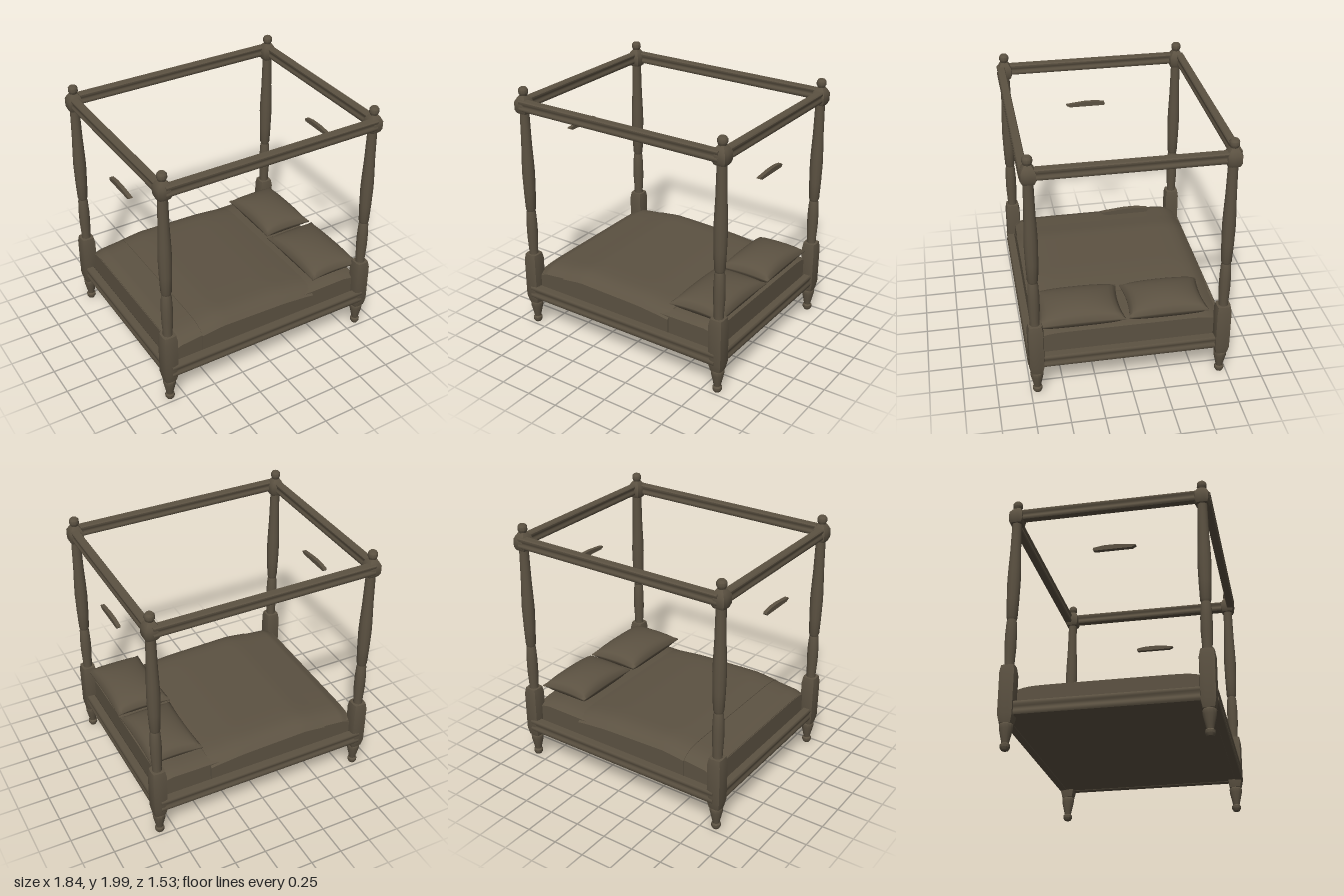
import * as THREE from 'three';
import { toCreasedNormals } from 'three/addons/utils/BufferGeometryUtils.js';

const wood = new THREE.MeshStandardMaterial({ color: 0x5c5242 });
wood.name = 'darkBrown';

const PX = 0.86, PZ = 0.7; // post centres

function part(name, geometry, crease = 0.6) {
  const mesh = new THREE.Mesh(toCreasedNormals(geometry, crease), wood);
  mesh.name = name;
  return mesh;
}

// Move every vertex by a rule
function reshape(geometry, rule) {
  const p = geometry.attributes.position, v = new THREE.Vector3();
  for (let i = 0; i < p.count; i++) {
    rule(v.fromBufferAttribute(p, i));
    p.setXYZ(i, v.x, v.y, v.z);
  }
  geometry.computeVertexNormals();
  return geometry;
}

// Turned part; "square" pushes the round section towards a chamfered square
function turned(name, profile, square = false) {
  const g = new THREE.LatheGeometry(profile.map(([r, y]) => new THREE.Vector2(r, y)), square ? 16 : 12);
  if (square) reshape(g, (v) => {
    const r = Math.hypot(v.x, v.z);
    if (r < 1e-6) return;
    const k = Math.min(1.27, r / Math.max(Math.abs(v.x), Math.abs(v.z)));
    v.x *= k;
    v.z *= k;
  });
  return part(name, g);
}

function createPost() {
  const post = new THREE.Group();
  post.name = 'bedPost';
  post.add(
    turned('foot', [[0, 0.01], [0.025, 0.01], [0.036, 0.03], [0.036, 0.05], [0.026, 0.06],
      [0.032, 0.09], [0.048, 0.16], [0.05, 0.19], [0.04, 0.21], [0, 0.21]]),
    turned('lowerBlock', [[0, 0.2], [0.045, 0.2], [0.058, 0.26], [0.059, 0.58], [0.05, 0.63], [0, 0.635]], true),
    turned('lowerColumn', [[0.036, 0.62], [0.036, 0.66], [0.043, 0.78], [0.043, 0.88], [0.038, 0.98], [0.033, 1.0]]),
    turned('upperColumn', [[0.033, 1.0], [0.04, 1.02], [0.046, 1.16], [0.05, 1.32], [0.047, 1.42],
      [0.041, 1.56], [0.036, 1.82]]),
    turned('upperBlock', [[0, 1.8], [0.045, 1.805], [0.056, 1.83], [0.056, 1.89], [0.04, 1.92], [0.025, 1.94], [0, 1.94]], true),
    turned('finial', [[0.024, 1.93], [0.03, 1.945], [0.037, 1.96], [0.036, 1.985], [0.025, 2.0], [0, 2.0]])
  );
  return post;
}

// Moulded rail with a shallow groove on both faces, running along x
function createRail(name, length, y0, y1, half) {
  const h = y1 - y0;
  const side = [[0.8, 0], [1, 0.12], [1, 0.28], [0.75, 0.42], [0.75, 0.6], [1, 0.74], [1, 0.9], [0.8, 1]]
    .map(([w, t]) => [w * half, y0 + t * h]);
  const ring = [...side, ...side.map(([x, y]) => [-x, y]).reverse()];
  const shape = new THREE.Shape(ring.map(([x, y]) => new THREE.Vector2(x, y)));
  const g = new THREE.ExtrudeGeometry(shape, { depth: length, bevelEnabled: false });
  g.translate(0, 0, -length / 2).rotateY(Math.PI / 2);
  return part(name, g);
}

// Bedding slab whose top follows [x, y] stations and rounds off at the sides
function createCover(name, stations, halfZ, base, drop) {
  const a = stations[0][0], b = stations[stations.length - 1][0];
  const topAt = (x) => {
    let i = 0;
    while (i < stations.length - 2 && x > stations[i + 1][0]) i++;
    const [x0, y0] = stations[i], [x1, y1] = stations[i + 1];
    return y0 + (y1 - y0) * (x - x0) / (x1 - x0);
  };
  const g = reshape(new THREE.BoxGeometry(2, 2, 2, 16, 1, 32), (v) => {
    v.x = a + (b - a) * (v.x + 1) / 2;
    v.y = v.y > 0 ? topAt(v.x) - drop * Math.abs(v.z) ** 12 : base;
    v.z *= halfZ;
  });
  return part(name, g, 0.7);
}

// Cushion with pinched corners and a fairly flat underside
function createPillow(name, cx, cz, hx, hz) {
  const g = reshape(new THREE.BoxGeometry(2, 2, 2, 16, 1, 20), (v) => {
    const u = 1 - v.x * v.x, w = 1 - v.z * v.z;
    const f = Math.max(0, u * w);
    v.y = v.y > 0 ? 0.595 + 0.092 * f ** 0.45 : 0.585 - 0.065 * f ** 0.3;
    const x = v.x * hx * (1 - 0.05 * w), z = v.z * hz * (1 - 0.07 * u);
    v.x = cx + x;
    v.z = cz + z;
  });
  return part(name, g, 1);
}

export function createModel() {
  const bed = new THREE.Group();
  bed.name = 'fourPosterBed';

  // Corner posts
  for (const sx of [-1, 1]) for (const sz of [-1, 1]) {
    const post = createPost();
    post.position.set(sx * PX, 0, sz * PZ);
    bed.add(post);
  }

  // Canopy and bed-frame rails
  for (const [name, y0, y1, half] of [['canopyRail', 1.83, 1.912, 0.031], ['frameRail', 0.255, 0.355, 0.033]]) {
    for (const s of [-1, 1]) {
      const long = createRail(name + 'Long', 2 * PX, y0, y1, half);
      long.position.z = s * 0.73;
      const short = createRail(name + 'Short', 2 * PZ, y0, y1, half);
      short.rotation.y = Math.PI / 2;
      short.position.x = s * 0.87;
      bed.add(long, short);
    }
  }

  // Base board, mattress and covers
  bed.add(
    part('baseBoard', new THREE.BoxGeometry(1.7, 0.05, 1.43).translate(0, 0.285, 0)),
    createCover('mattress', [[-0.82, 0.49], [-0.7, 0.515], [0.78, 0.525], [0.83, 0.505]], 0.685, 0.3, 0.04),
    createCover('blanket', [[-0.57, 0.55], [-0.4, 0.572], [0.15, 0.557], [0.38, 0.535], [0.42, 0.528]], 0.7, 0.31, 0.07),
    createCover('footThrow', [[-0.815, 0.495], [-0.75, 0.525], [-0.54, 0.548]], 0.693, 0.31, 0.06)
  );

  // Pillows at the head
  bed.add(
    createPillow('frontPillow', 0.645, 0.355, 0.22, 0.325),
    createPillow('backPillow', 0.65, -0.295, 0.21, 0.3)
  );

  // Slim floating slats beside the canopy
  for (const s of [-1, 1]) {
    const outline = new THREE.Shape([[-0.21, 1.518], [-0.18, 1.503], [0.1, 1.503], [0.11, 1.515],
      [0.105, 1.528], [0.03, 1.54], [-0.06, 1.54], [-0.205, 1.525]].map(([x, y]) => new THREE.Vector2(x, y)));
    const g = new THREE.ExtrudeGeometry(outline, { depth: 0.03, bevelEnabled: false });
    g.translate(0, 0, -0.015).rotateY(Math.PI / 2);
    const slat = part('sideSlat', g);
    slat.position.x = s * 0.86;
    bed.add(slat);
  }
  return bed;
}
